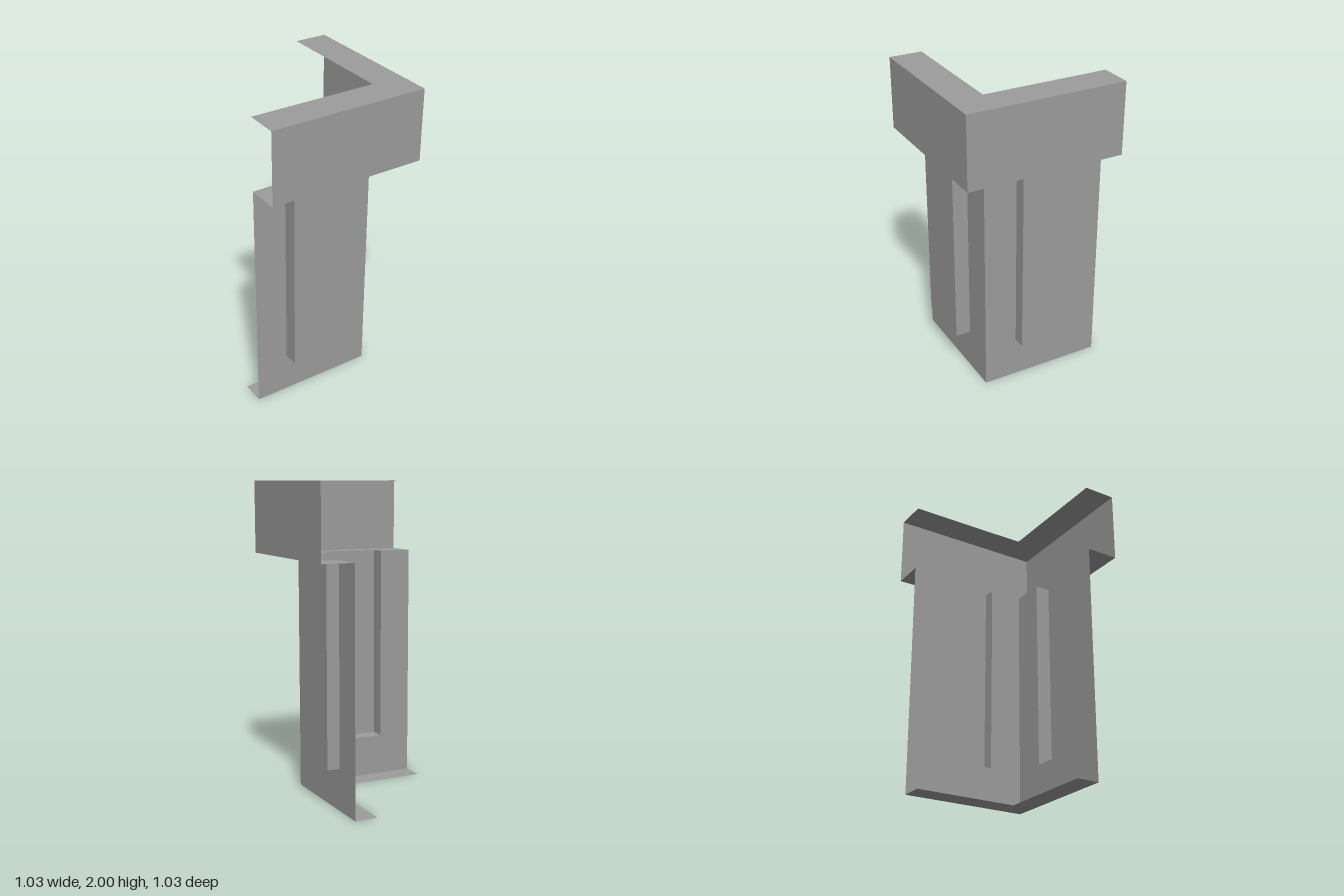
import * as THREE from 'three';

const E = 0.513;              // outer edge of the cap and open ends of the wings
const WALL = 0.301;           // face of the shaft walls
const INNER = 0.152;          // inner edge of the foot
const CAP = 1.537, TOP = 2;   // underside and top of the cap
const P0 = -0.3, P1 = 0.082, PY = 0.267; // raised panel: sides and lower edge
const FRONT_PANEL = 0.4, SIDE_PANEL = 0.383;

const material = new THREE.MeshStandardMaterial({
  color: 0x9c9c9c, flatShading: true, side: THREE.DoubleSide,
});

function sheet(name, points) {
  const shape = new THREE.Shape(points.map(([x, y]) => new THREE.Vector2(x, y)));
  const mesh = new THREE.Mesh(new THREE.ShapeGeometry(shape), material);
  mesh.name = name;
  return mesh;
}

// Horizontal sheet from [x, z] points, facing up or down
function level(name, points, y, up) {
  const mesh = sheet(name, up ? points.map(([x, z]) => [x, -z]) : points);
  mesh.geometry.rotateX(up ? -Math.PI / 2 : Math.PI / 2);
  mesh.position.y = y;
  return mesh;
}

// L outline with its corner at the front left
function corner(outer, inner) {
  return [[-E, inner], [inner, inner], [inner, -E], [outer, -E], [outer, outer], [-E, outer]];
}

function rectangle(x0, x1, y0, y1) {
  return [[x0, y0], [x1, y0], [x1, y1], [x0, y1]];
}

// One wing: shaft wall with a raised hollow panel, and the cap face above
function wing(name, panelZ) {
  const group = new THREE.Group();
  group.name = name;

  const wall = sheet('shaftWall', [
    [-E, 0], [WALL, 0], [WALL, CAP], [P1, CAP], [P1, PY], [P0, PY], [P0, CAP], [-E, CAP],
  ]);
  wall.position.z = WALL;

  const panel = sheet('panelFace', rectangle(P0, P1, PY, CAP));
  panel.position.z = panelZ;

  const capFace = sheet('capFace', rectangle(-E, E, CAP, TOP));
  capFace.position.z = E;

  group.add(wall, panel, capFace);
  group.add(level('panelBottom', rectangle(P0, P1, WALL, panelZ), PY, false));

  // Panel side returns
  for (const [x, turn] of [[P0, -1], [P1, 1]]) {
    const depth = panelZ - WALL;
    const side = sheet('panelSide', rectangle(-depth / 2, depth / 2, PY, CAP));
    side.geometry.rotateY(turn * Math.PI / 2);
    side.position.set(x, 0, WALL + depth / 2);
    group.add(side);
  }
  return group;
}

export function createModel() {
  const model = new THREE.Group();
  model.name = 'cornerPilaster';

  // Two wings, the second mirrored across the diagonal
  const frontWing = wing('frontWing', FRONT_PANEL);
  const sideWing = wing('sideWing', SIDE_PANEL);
  sideWing.rotation.y = Math.PI / 2;
  sideWing.scale.x = -1;
  model.add(frontWing, sideWing);

  // Top of the cap and sole of the foot
  model.add(level('capTop', corner(E, WALL), TOP, true));
  model.add(level('footSole', corner(WALL, INNER), 0, false));

  // Underside of the cap, notched around the panels
  model.add(level('capUnderside', [
    [-E, WALL], [P0, WALL], [P0, FRONT_PANEL], [P1, FRONT_PANEL], [P1, WALL], [WALL, WALL],
    [WALL, P1], [SIDE_PANEL, P1], [SIDE_PANEL, P0], [WALL, P0], [WALL, -E],
    [E, -E], [E, E], [-E, E],
  ], CAP, false));

  return model;
}
